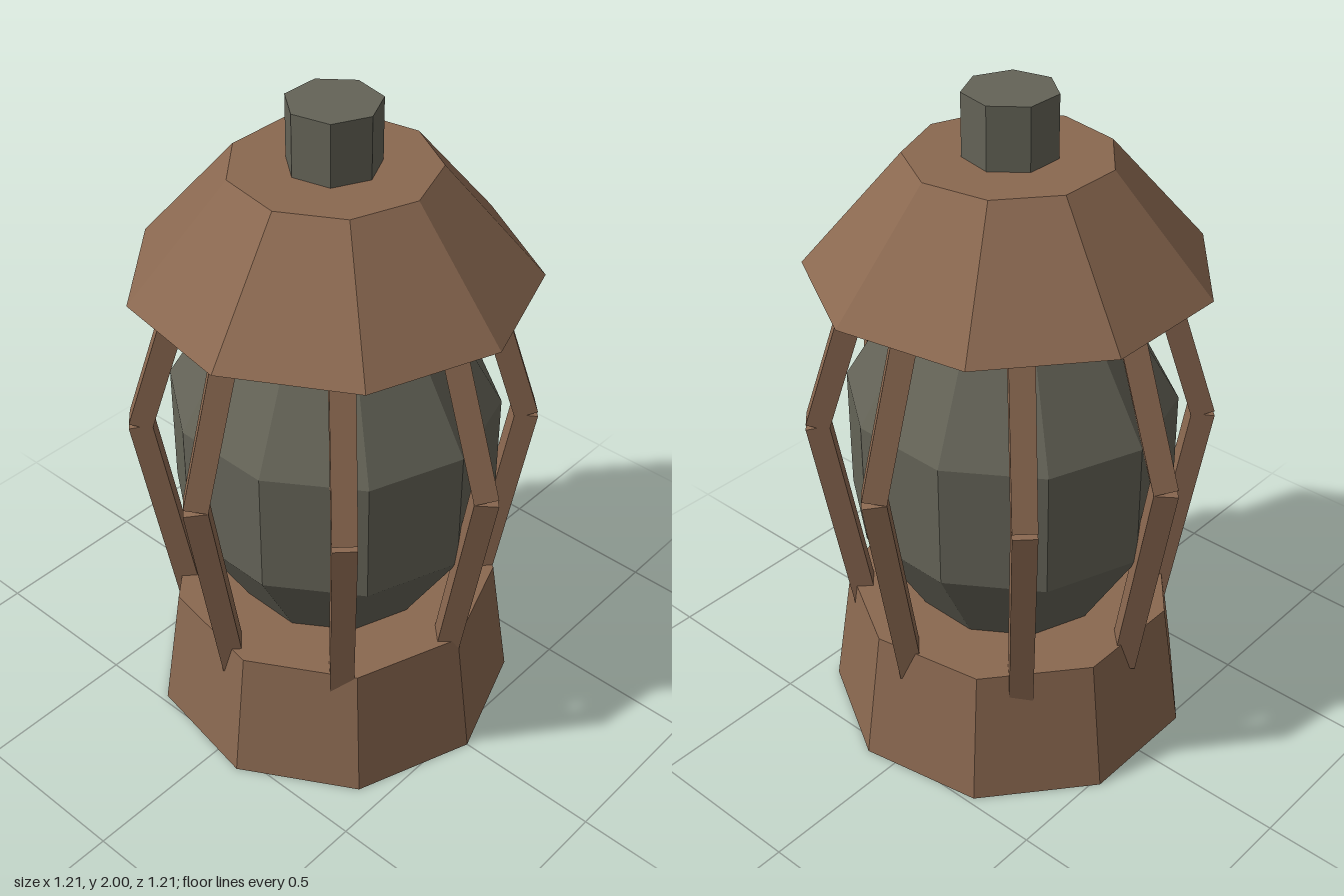
import * as THREE from 'three';

export function createModel() {
  const group = new THREE.Group();
  const material = (name, color) => {
    const m = new THREE.MeshStandardMaterial({ color, flatShading: true });
    m.name = name;
    return m;
  };
  const brown = material('rusty brown', 0x8a6850);
  const grey = material('smoky grey', 0x646357);

  const add = (name, geometry, mat, y = 0) => {
    const mesh = new THREE.Mesh(geometry, mat);
    mesh.name = name;
    mesh.position.y = y;
    group.add(mesh);
    return mesh;
  };

  // Tapered prism with one corner pointing to +x
  const prism = (name, rTop, rBottom, y0, y1, sides, mat) =>
    add(name, new THREE.CylinderGeometry(rTop, rBottom, y1 - y0, sides, 1, false, Math.PI / 2), mat, (y0 + y1) / 2);

  prism('base', 0.495, 0.555, 0, 0.415, 9, brown);
  prism('roof', 0.29, 0.575, 1.49, 1.82, 9, brown);
  prism('chimney', 0.132, 0.132, 1.8, 2, 7, grey);

  // Faceted globe
  const globe = add('globe', new THREE.SphereGeometry(1, 10, 5), grey, 0.91);
  globe.scale.set(0.511, 0.615, 0.493);
  globe.rotation.y = -0.028;

  // Square bar running between two points
  const up = new THREE.Vector3(0, 1, 0);
  const bar = (name, a, b) => {
    const dir = b.clone().sub(a);
    const mesh = add(name, new THREE.CylinderGeometry(0.049, 0.049, dir.length(), 4), brown);
    mesh.position.copy(a).add(b).multiplyScalar(0.5);
    mesh.quaternion.setFromUnitVectors(up, dir.normalize());
  };

  // Cage of eight bent bars
  for (let i = 0; i < 8; i++) {
    const angle = (i * Math.PI) / 4;
    const at = (r, y) => new THREE.Vector3(r * Math.cos(angle), y, r * Math.sin(angle));
    bar('lowerBar', at(0.441, 0.32), at(0.557, 0.998));
    bar('upperBar', at(0.557, 0.998), at(0.384, 1.55));
  }

  return group;
}
